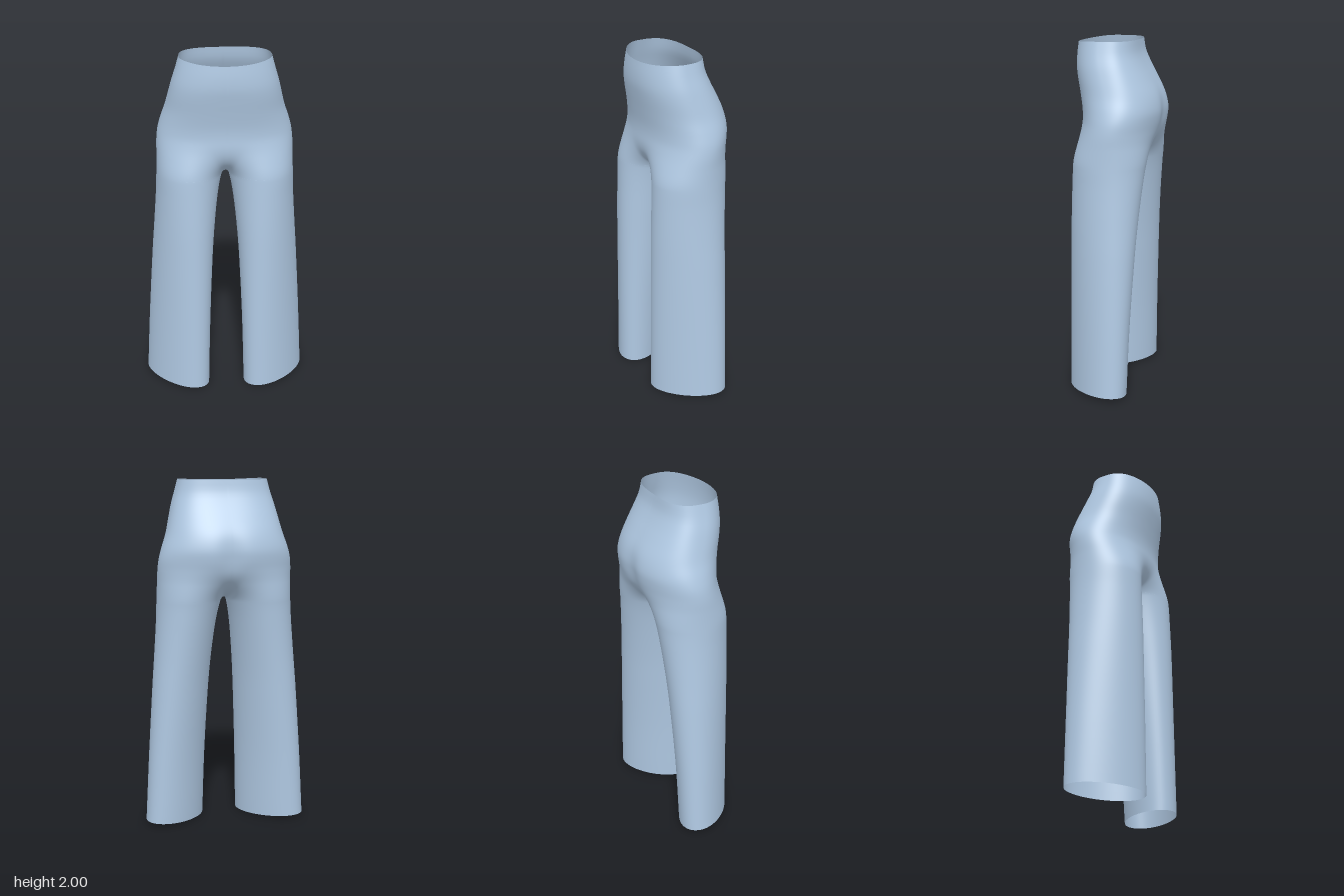
import * as THREE from 'three';
import { mergeVertices } from 'three/addons/utils/BufferGeometryUtils.js';

// Height, inner leg x, outer x, back z, front z, section tilt, squareness of back and front
const PROFILE = [
  [0.00, 0.105, 0.470, -0.122, 0.250, -0.49, 2.0, 2.0],
  [0.40, 0.095, 0.450, -0.132, 0.247, -0.42, 2.0, 2.0],
  [0.80, 0.078, 0.425, -0.149, 0.243, -0.29, 2.0, 2.0],
  [1.00, 0.064, 0.410, -0.161, 0.240, -0.20, 2.0, 2.0],
  [1.20, 0.042, 0.396, -0.178, 0.233, -0.10, 2.0, 2.0],
  [1.32, 0.017, 0.391, -0.192, 0.227, -0.04, 2.0, 2.0],
  [1.42, -0.020, 0.388, -0.214, 0.219, -0.02, 2.0, 2.0],
  [1.50, -0.050, 0.386, -0.238, 0.210, 0, 2.0, 2.05],
  [1.56, -0.060, 0.379, -0.252, 0.204, 0, 2.05, 2.1],
  [1.62, -0.060, 0.363, -0.255, 0.206, 0, 2.12, 2.15],
  [1.70, -0.060, 0.336, -0.234, 0.218, 0, 2.25, 2.2],
  [1.80, -0.060, 0.311, -0.181, 0.236, 0, 2.5, 2.2],
  [1.86, -0.060, 0.296, -0.148, 0.244, 0, 2.65, 2.13],
  [1.93, -0.060, 0.275, -0.117, 0.244, 0, 2.8, 2.05],
  [2.00, -0.060, 0.256, -0.105, 0.238, 0, 2.9, 2.0],
];

// Smooth interpolation through the profile rows
function sample(y) {
  const P = PROFILE, last = P.length - 1;
  let i = 0;
  while (i < last - 1 && y > P[i + 1][0]) i++;
  const h = P[i + 1][0] - P[i][0], t = (y - P[i][0]) / h;
  const slope = (j, c) => {
    const a = P[Math.max(0, j - 1)], b = P[Math.min(last, j + 1)];
    return (b[c] - a[c]) / (b[0] - a[0]);
  };
  const [xin, X, zb, zf, tilt, nb, nf] = [1, 2, 3, 4, 5, 6, 7].map((c) => {
    const t2 = t * t, t3 = t2 * t;
    return (2 * t3 - 3 * t2 + 1) * P[i][c] + (t3 - 2 * t2 + t) * h * slope(i, c)
      + (3 * t2 - 2 * t3) * P[i + 1][c] + (t3 - t2) * h * slope(i + 1, c);
  });
  return { X, tilt, nb, nf, cx: (xin + X) / 2, ax: (X - xin) / 2, cz: (zf + zb) / 2, az: (zf - zb) / 2,
    torso: THREE.MathUtils.smoothstep(y, 1.31, 1.57),
    blend: 0.05 + 0.4 * Math.max(0, y - 1.35),
    cleft: 0.018 * Math.exp(-(((y - 1.57) / 0.12) ** 2)) };
}

// Signed field of a horizontal section: two tilted ovals melting into one torso outline
function field(s, x, z) {
  const b = (z - s.cz) / s.az;
  const leg = (px) => {
    const a = (px - s.cx) / s.ax;
    const q = (a * a - 2 * s.tilt * a * b + b * b) / (1 - s.tilt * s.tilt);
    // Flatter towards the outer front
    const flat = -0.6 * Math.min(0, s.tilt) * Math.max(0, a + b - 0.5) ** 2;
    return (Math.sqrt(q + flat) - 1) * 0.18;
  };
  const l = leg(x), r = leg(-x), k = s.blend;
  const m = Math.max(k - Math.abs(l - r), 0) / k;
  const legs = Math.min(l, r) - m * m * k / 4;
  const dip = b < 0 ? s.cleft * b * b * Math.exp(-((x / 0.07) ** 2)) : 0;
  const n = b < 0 ? s.nb : s.nf;
  const body = (Math.pow(Math.pow(Math.abs(x / s.X), n) + Math.pow(Math.abs(b), n), 1 / n) - 1) * 0.2 + dip;
  return legs + (body - legs) * s.torso;
}

// Root of f between an inside and an outside value
function bisect(f, inside, outside) {
  for (let i = 0; i < 40; i++) {
    const mid = (inside + outside) / 2;
    if (f(mid) < 0) inside = mid; else outside = mid;
  }
  return (inside + outside) / 2;
}

// Deepest point of a section on the centre plane
function deepest(s) {
  let best = 0, value = Infinity;
  for (let z = -0.15; z <= 0.2; z += 0.002) {
    const v = field(s, 0, z);
    if (v < value) { value = v; best = z; }
  }
  return { z: best, value };
}

const SEGMENTS = 96;

// One open line of points, from the centre front round the outside to the centre back
function ring(y, crotchY, crotchZ) {
  const s = sample(y), joined = y > crotchY + 1e-7;
  let front = crotchZ, back = crotchZ;
  if (joined) {
    const d = deepest(s);
    if (d.value < 0) {
      front = bisect((z) => field(s, 0, z), d.z, 0.4);
      back = bisect((z) => field(s, 0, z), d.z, -0.4);
    }
  }
  let a0 = Math.atan2(front - s.cz, -s.cx);
  if (a0 < 0) a0 += 2 * Math.PI;
  let a1 = Math.atan2(back - s.cz, -s.cx);
  if (a1 > 0) a1 -= 2 * Math.PI;
  if (!joined) a1 = a0 - 2 * Math.PI;
  const points = [];
  for (let i = 0; i <= SEGMENTS; i++) {
    const a = a0 + (a1 - a0) * i / SEGMENTS, c = Math.cos(a), d = Math.sin(a);
    const limit = c < -1e-6 ? Math.min(0.6, s.cx / -c) : 0.6;
    const r = bisect((t) => field(s, s.cx + c * t, s.cz + d * t), 0, limit);
    let x = Math.max(0, s.cx + c * r), z = s.cz + d * r;
    if (joined && (i === 0 || i === SEGMENTS)) { x = 0; z = i === 0 ? front : back; }
    // The hem rises slightly towards the outside, the waist dips at the centre front
    const lift = 0.05 * Math.max(0, x - 0.1) * Math.max(0, 1 - y / 0.5);
    const sag = z > 0 ? 0.012 * Math.max(0, 1 - (x / 0.25) ** 2) * Math.max(0, (y - 1.8) / 0.2) * Math.min(1, z / 0.2) : 0;
    points.push([x, y + lift - sag, z]);
  }
  return points;
}

function trouserGeometry() {
  const crotchY = bisect((y) => deepest(sample(y)).value, 1.6, 1.1);
  const crotchZ = deepest(sample(crotchY)).z;
  // Rows crowd together near the crotch, where the legs part
  const heights = [];
  for (let i = 0; i <= 50; i++) heights.push(crotchY * (1 - (1 - i / 50) ** 2));
  for (let i = 1; i <= 50; i++) heights.push(crotchY + (2 - crotchY) * (i / 50) ** 2);
  const rings = heights.map((y) => ring(y, crotchY, crotchZ));

  const positions = [], index = [], stride = SEGMENTS + 1;
  for (const side of [1, -1]) {
    const base = positions.length / 3;
    for (const row of rings) for (const [x, y, z] of row) positions.push(side * x, y, z);
    for (let j = 0; j < rings.length - 1; j++) {
      for (let i = 0; i < SEGMENTS; i++) {
        const a = base + j * stride + i, b = a + 1, c = a + stride, d = c + 1;
        if (side > 0) index.push(a, b, d, a, d, c);
        else index.push(a, d, b, a, c, d);
      }
    }
  }
  const geometry = new THREE.BufferGeometry();
  geometry.setAttribute('position', new THREE.Float32BufferAttribute(positions, 3));
  geometry.setIndex(index);
  const merged = mergeVertices(geometry, 1e-5);
  merged.computeVertexNormals();
  return merged;
}

export function createModel() {
  const group = new THREE.Group();
  group.name = 'trousers';
  const cloth = new THREE.MeshStandardMaterial({ color: 0xb0c9e3, side: THREE.DoubleSide });
  const mesh = new THREE.Mesh(trouserGeometry(), cloth);
  mesh.name = 'flaredTrousers';
  group.add(mesh);
  return group;
}
